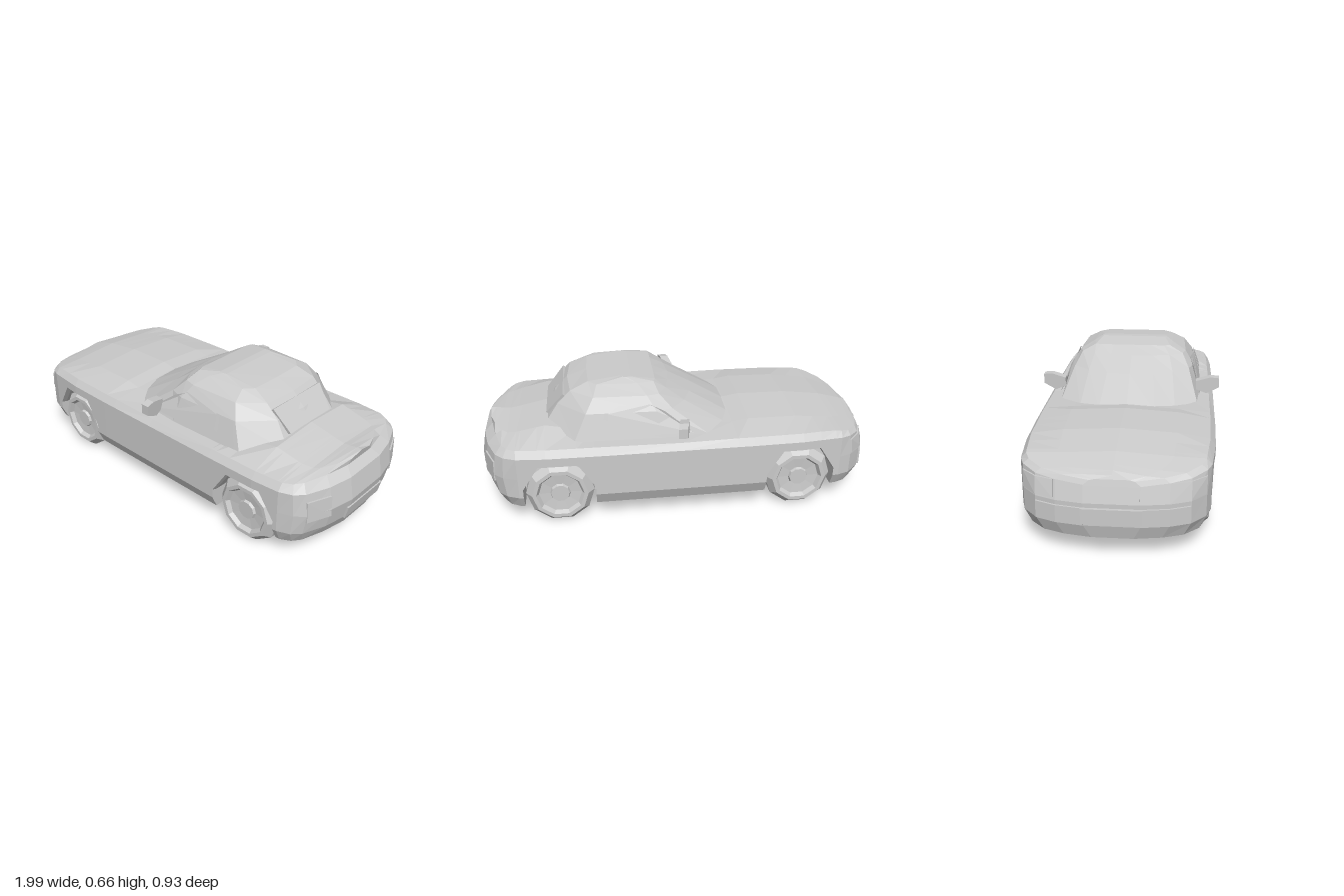
import * as THREE from 'three';

const grey = () => new THREE.MeshStandardMaterial({ color: 0xcccccc, flatShading: true, side: THREE.DoubleSide });
const clamp = THREE.MathUtils.clamp;

// Piecewise linear lookup in rows [key, value, value...]
function lookup(rows, x, col = 1) {
  if (x <= rows[0][0]) return rows[0][col];
  for (let i = 1; i < rows.length; i++) {
    const a = rows[i - 1], b = rows[i];
    if (x <= b[0]) return a[col] + (b[col] - a[col]) * (x - a[0]) / (b[0] - a[0]);
  }
  return rows[rows.length - 1][col];
}

function meshFrom(name, positions) {
  const g = new THREE.BufferGeometry();
  g.setAttribute('position', new THREE.Float32BufferAttribute(positions, 3));
  g.computeVertexNormals();
  const m = new THREE.Mesh(g, grey());
  m.name = name;
  return m;
}

// Skin through half sections that are mirrored over z, with closed ends
function loft(name, halves) {
  const pos = [];
  const quad = (a, b, c, d) => pos.push(...a, ...b, ...c, ...a, ...c, ...d);
  const flip = p => [p[0], p[1], -p[2]];
  for (let s = 0; s < halves.length - 1; s++) {
    const A = halves[s], B = halves[s + 1];
    for (let j = 0; j < A.length - 1; j++) {
      quad(A[j], B[j], B[j + 1], A[j + 1]);
      quad(flip(A[j + 1]), flip(B[j + 1]), flip(B[j]), flip(A[j]));
    }
  }
  const S = halves[0], E = halves[halves.length - 1];
  for (let j = 0; j < S.length - 1; j++) {
    quad(flip(S[j]), S[j], S[j + 1], flip(S[j + 1]));
    quad(E[j], flip(E[j]), flip(E[j + 1]), E[j + 1]);
  }
  return meshFrom(name, pos);
}

// Thin panel: four outer corners, and the direction to its back
function panel(name, q, d) {
  const back = q.map(p => p.map((v, i) => v + d[i]));
  const pos = [];
  const quad = (a, b, c, e) => pos.push(...a, ...b, ...c, ...a, ...c, ...e);
  quad(...q);
  quad(back[3], back[2], back[1], back[0]);
  for (let i = 0; i < 4; i++) {
    const k = (i + 1) % 4;
    quad(q[k], q[i], back[i], back[k]);
  }
  return meshFrom(name, pos);
}

// x, half width, height of the deck at the centre line
const plan = [
  [-0.985, 0.12, 0.385], [-0.965, 0.24, 0.395], [-0.93, 0.33, 0.405], [-0.86, 0.395, 0.418],
  [-0.8, 0.415, 0.428], [-0.6, 0.435, 0.453], [-0.35, 0.44, 0.456], [-0.27, 0.44, 0.443],
  [0, 0.44, 0.43], [0.4, 0.44, 0.435], [0.66, 0.437, 0.485], [0.8, 0.425, 0.455],
  [0.87, 0.4, 0.447], [0.915, 0.36, 0.45], [0.965, 0.245, 0.455], [0.99, 0.12, 0.457],
];
// height, slant of the nose, slant of the tail
const slant = [
  [0.1, 0.02, -0.05], [0.17, 0, -0.02], [0.27, 0, 0],
  [0.38, 0.03, -0.02], [0.41, 0.055, -0.06], [0.5, 0.06, -0.04],
];
const shifted = (x, y) => x + clamp((Math.abs(x) - 0.8) / 0.15, 0, 1) * lookup(slant, y, x < 0 ? 1 : 2);

const FLOOR = 0.1, AXLES = [-0.595, 0.605];
const archShape = [[-0.175, 0.1], [-0.175, 0.2], [-0.095, 0.325], [0.095, 0.325], [0.175, 0.2], [0.175, 0.1]];
const arches = AXLES.flatMap(cx => archShape.map(([dx, y]) => [cx + dx, y]));

function bodySection([x, arch]) {
  const w = lookup(plan, x, 1), deck = lookup(plan, x, 2), inner = Math.min(0.29, w * 0.7);
  return [
    [FLOOR, 0], [FLOOR, inner], [arch, inner], [arch, w - 0.03],
    [Math.max(0.165, arch + 0.01), w], [Math.max(0.27, arch + 0.02), w],
    [Math.min(0.38, deck - 0.04), w], [Math.min(0.415, deck - 0.02), w - 0.025],
    [deck - 0.015, w * 0.6], [deck, 0],
  ].map(([y, z]) => [shifted(x, y), y, z]);
}

// x of the nose (-1) or tail (1) surface at a given half width and height
function endX(end, z, y) {
  const rows = plan.filter(r => r[0] * end > 0.75).map(r => [r[1], r[0]]).sort((a, b) => a[0] - b[0]);
  return shifted(lookup(rows, z), y);
}
function endPanel(name, end, z0, z1, y0, y1, out, side = 1) {
  const corner = (z, y) => [endX(end, Math.abs(z), y) + end * out, y, z * side];
  return panel(name, [corner(z0, y0), corner(z1, y0), corner(z1, y1), corner(z0, y1)], [-end * 0.03, 0, 0]);
}

// Cabin rings: height, then [x, z] from the windscreen round to the rear glass
const cabinRings = [
  [0.42, [[-0.3, 0], [-0.285, 0.14], [-0.235, 0.24], [-0.13, 0.35], [0.1, 0.37], [0.52, 0.36], [0.68, 0.2], [0.69, 0]]],
  [0.545, [[-0.09, 0], [-0.07, 0.12], [-0.03, 0.22], [0.04, 0.305], [0.12, 0.33], [0.46, 0.32], [0.595, 0.18], [0.61, 0]]],
  [0.61, [[0.03, 0], [0.04, 0.11], [0.06, 0.2], [0.1, 0.27], [0.16, 0.285], [0.42, 0.275], [0.53, 0.18], [0.545, 0]]],
  [0.647, [[0.11, 0], [0.11, 0.1], [0.11, 0.17], [0.12, 0.2], [0.2, 0.215], [0.4, 0.205], [0.44, 0.16], [0.445, 0]]],
  [0.665, [[0.23, 0], [0.23, 0.1], [0.23, 0.16], [0.23, 0.17], [0.25, 0.175], [0.27, 0.17], [0.27, 0.15], [0.27, 0]]],
];
const cabinSide = [[0.42, 0.367], [0.545, 0.327], [0.61, 0.282]];

function sideWindow(name, points, side) {
  const g = new THREE.ShapeGeometry(new THREE.Shape(points.map(p => new THREE.Vector2(...p))));
  const p = g.attributes.position;
  for (let i = 0; i < p.count; i++) p.setZ(i, side * (lookup(cabinSide, p.getY(i)) + 0.004));
  const m = new THREE.Mesh(g, grey());
  m.name = name;
  return m;
}

function wheel(x, side) {
  const profile = [[0, 0.3], [0.168, 0.3], [0.168, 0.375], [0.137, 0.412], [0.118, 0.412],
    [0.105, 0.392], [0.05, 0.387], [0.045, 0.4], [0, 0.4]].map(p => new THREE.Vector2(...p));
  const m = new THREE.Mesh(new THREE.LatheGeometry(profile, 10, Math.PI / 10), grey());
  m.rotation.x = side * Math.PI / 2;
  m.position.set(x, 0.16, 0);
  m.name = 'wheel';
  return m;
}

function mirror(side) {
  const outline = [[0.345, 0.455], [0.4, 0.43], [0.465, 0.46], [0.465, 0.51], [0.42, 0.517], [0.345, 0.5]];
  const g = new THREE.ExtrudeGeometry(new THREE.Shape(outline.map(p => new THREE.Vector2(...p))),
    { depth: 0.045, bevelEnabled: false });
  g.rotateY(-Math.PI / 2);
  const p = g.attributes.position;
  // Sweep the outer end back along the car
  for (let i = 0; i < p.count; i++) p.setX(i, p.getX(i) + 0.005 + (p.getZ(i) - 0.345) * 0.2);
  g.computeVertexNormals();
  const m = new THREE.Mesh(g, grey());
  m.scale.z = side;
  m.name = 'sideMirror';
  return m;
}

export function createModel() {
  const car = new THREE.Group();
  car.name = 'car';

  // Lower body with open wheel arches
  const stations = [...plan.map(([x]) => [x, lookup(arches, x)]), ...arches].sort((a, b) => a[0] - b[0]);
  car.add(loft('body', stations.map(bodySection)));

  // Cabin and rear glass
  car.add(loft('cabin', cabinRings.map(([y, pts]) => pts.map(([x, z]) => [x, y, z]).reverse())));
  car.add(panel('rearWindow', [[0.655, 0.488, 0.155], [0.655, 0.488, -0.155], [0.567, 0.592, -0.18], [0.567, 0.592, 0.18]],
    [-0.03, -0.02, 0]));

  for (const side of [1, -1]) {
    for (const x of AXLES) car.add(wheel(x, side));
    car.add(mirror(side));
    car.add(sideWindow('doorWindow', [[-0.06, 0.435], [0.36, 0.435], [0.355, 0.545], [0.3, 0.575], [0.15, 0.575], [0.08, 0.545]], side));
    car.add(sideWindow('quarterWindow', [[0.385, 0.44], [0.49, 0.44], [0.455, 0.545], [0.375, 0.545]], side));
    // Lights and front bumper, following the rounded ends
    car.add(endPanel('tailLight', 1, 0.245, 0.36, 0.235, 0.34, 0.008, side));
    car.add(endPanel('headlight', -1, 0.25, 0.33, 0.28, 0.355, 0.008, side));
    car.add(endPanel('headlight', -1, 0.33, 0.395, 0.28, 0.355, 0.008, side));
    car.add(endPanel('frontBumper', -1, 0.12, 0.24, 0.17, 0.25, 0.008, side));
    car.add(endPanel('frontBumper', -1, 0.24, 0.33, 0.17, 0.25, 0.008, side));
  }
  car.add(endPanel('grille', -1, -0.115, 0.115, 0.285, 0.345, 0.006));
  car.add(endPanel('frontPlate', -1, -0.13, 0.13, 0.18, 0.25, 0.015));
  car.add(endPanel('rearPlate', 1, -0.14, 0.14, 0.165, 0.23, 0.01));
  return car;
}
